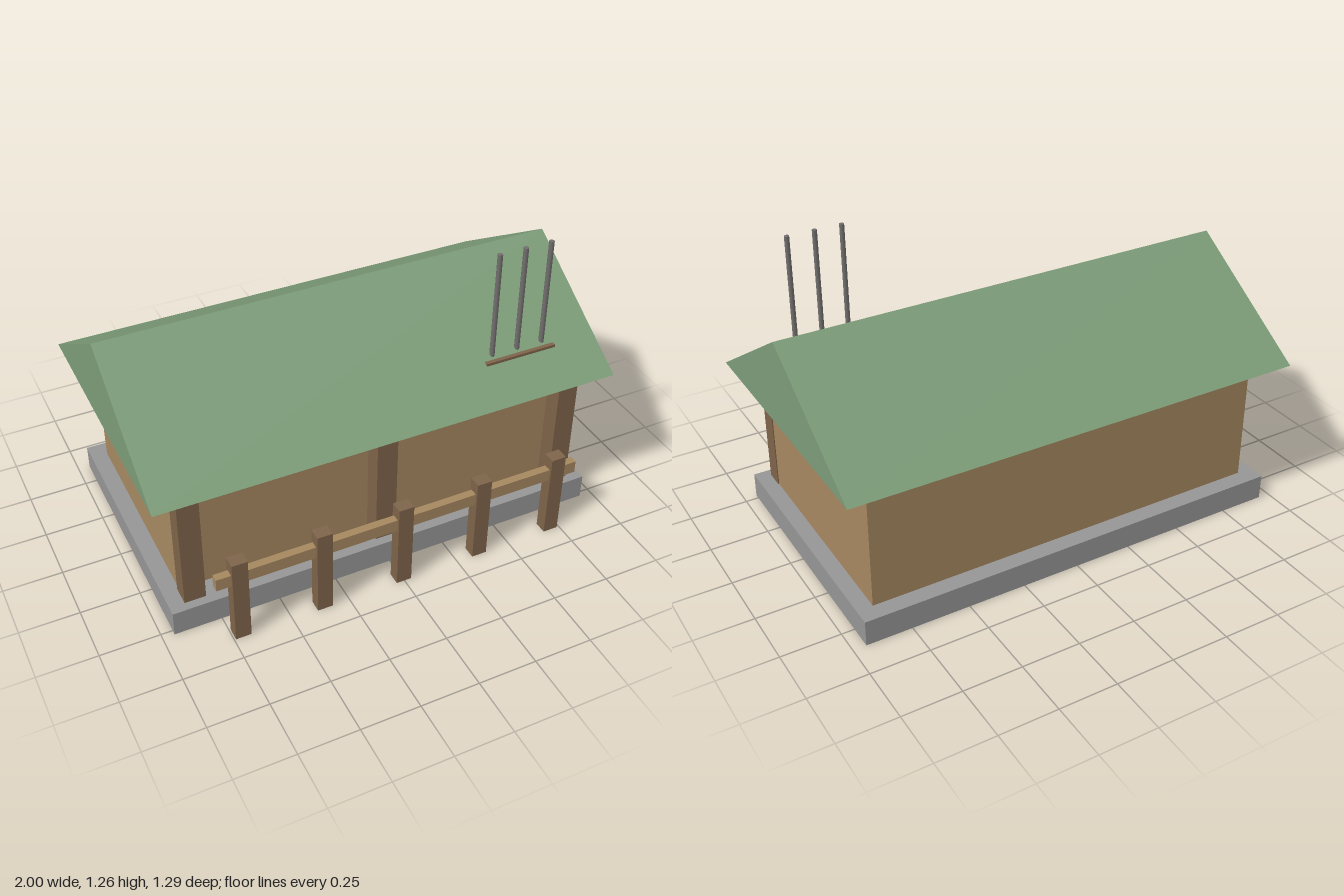
import * as THREE from 'three';

const mat = (name, color) => {
  const m = new THREE.MeshStandardMaterial({ color });
  m.name = name;
  return m;
};

export function createModel() {
  const model = new THREE.Group();
  model.name = 'cabin';
  const stone = mat('stone grey', 0x969696);
  const plank = mat('light wood', 0xa68860);
  const timber = mat('dark wood', 0x7f644a);
  const green = mat('roof green', 0x7c9c78);
  const metal = mat('pipe grey', 0x736f6f);

  const add = (name, geometry, material) => {
    const mesh = new THREE.Mesh(geometry, material);
    mesh.name = name;
    model.add(mesh);
    return mesh;
  };
  // Box given by its extents on each axis
  const box = (name, material, [x0, x1], [y0, y1], [z0, z1]) =>
    add(name, new THREE.BoxGeometry(x1 - x0, y1 - y0, z1 - z0), material)
      .position.set((x0 + x1) / 2, (y0 + y1) / 2, (z0 + z1) / 2);

  // Foundation, walls and the beam under the roof
  box('foundation', stone, [-0.95, 0.945], [0, 0.11], [-0.605, 0.522]);
  box('walls', plank, [-0.88, 0.878], [0.11, 0.62], [-0.532, 0.402]);
  box('roofBeam', timber, [-0.89, 0.888], [0.605, 0.667], [-0.55, 0.466]);

  // Porch posts
  for (const x of [-0.842, -0.004, 0.837])
    box('porchPost', timber, [x - 0.045, x + 0.045], [0.11, 0.617], [0.4, 0.484]);

  // Gable roof: triangle in the z-y plane swept along x
  const gable = new THREE.Shape();
  gable.moveTo(-0.56, 0.667);
  gable.lineTo(0.645, 0.667);
  gable.lineTo(0.043, 1.046);
  gable.closePath();
  const roof = new THREE.ExtrudeGeometry(gable, { depth: 2, bevelEnabled: false });
  roof.translate(0, 0, -1).rotateY(Math.PI / 2);
  add('roof', roof, green);

  // Pipes and the bar in front of them
  for (const x of [0.526, 0.643, 0.76]) {
    add('pipe', new THREE.CylinderGeometry(0.011, 0.011, 0.51, 8), metal)
      .position.set(x, 1.005, 0.363);
  }
  box('roofBar', timber, [0.482, 0.805], [0.74, 0.779], [0.383, 0.401]);

  // Fence
  for (const x of [-0.71, -0.357, -0.002, 0.354, 0.707])
    box('fencePost', timber, [x - 0.033, x + 0.033], [0, 0.39], [0.595, 0.65]);
  box('fenceRail', plank, [-0.805, 0.802], [0.28, 0.335], [0.605, 0.639]);

  return model;
}
